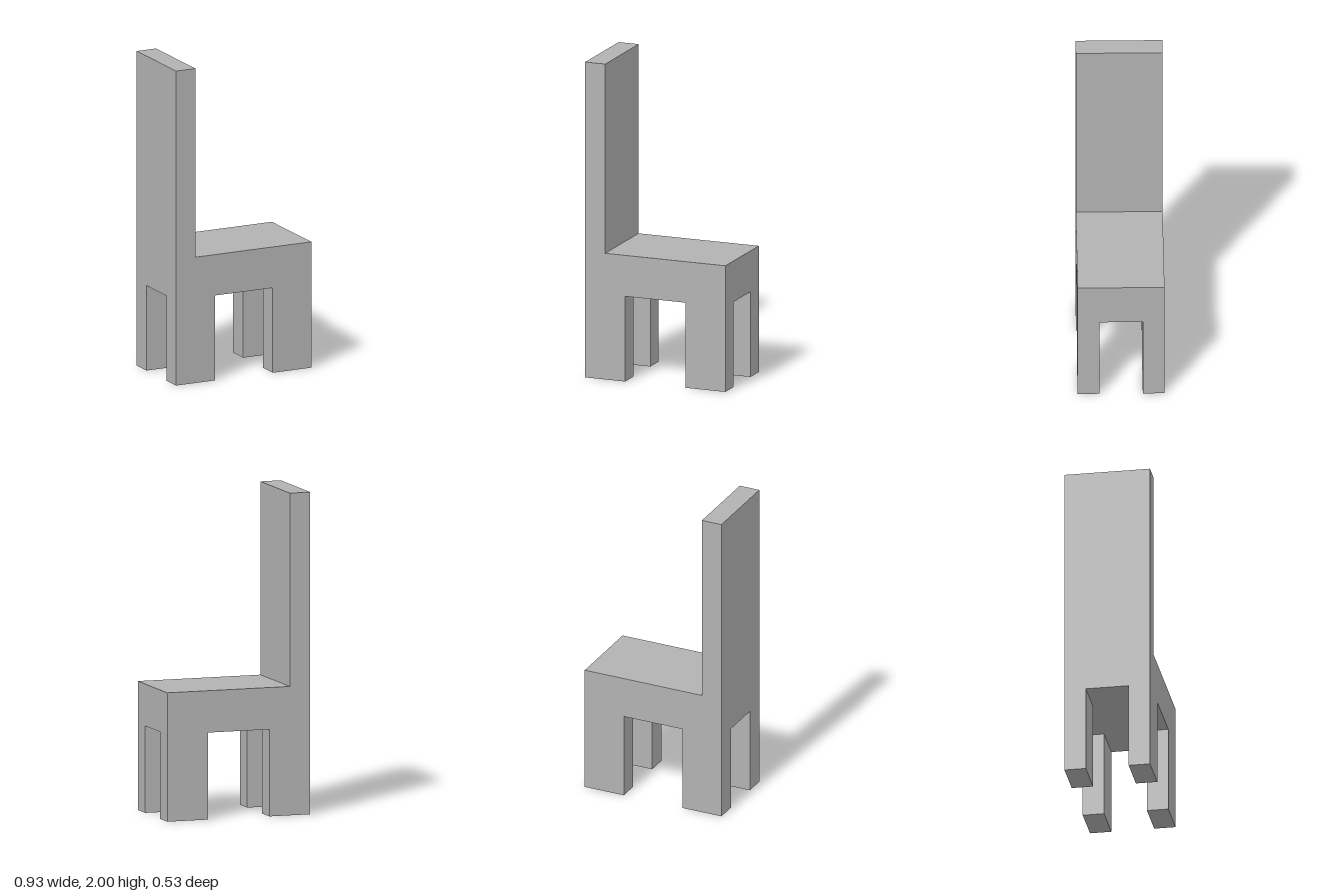
import * as THREE from 'three';

const WIDTH = 0.9333, DEPTH = 0.5333;
const LEG_TOP = 0.54, SEAT_TOP = 0.8, HEIGHT = 2;
const LEG_W = 0.2667, LEG_D = 0.1333, BACK_W = 0.1333;

export function createModel() {
  const chair = new THREE.Group();
  chair.name = 'chair';

  const grey = new THREE.MeshStandardMaterial({ color: 0xb2b2b2 });
  grey.name = 'grey';

  // Box placed by its centre in x and z and its bottom and top in y
  function addBox(name, w, d, bottom, top, x, z) {
    const mesh = new THREE.Mesh(new THREE.BoxGeometry(w, top - bottom, d), grey);
    mesh.name = name;
    mesh.position.set(x, (bottom + top) / 2, z);
    chair.add(mesh);
  }

  // Thick seat block
  addBox('seat', WIDTH, DEPTH, LEG_TOP, SEAT_TOP, 0, 0);

  // Tall backrest slab along the -x edge
  addBox('backrest', BACK_W, DEPTH, SEAT_TOP, HEIGHT, (BACK_W - WIDTH) / 2, 0);

  // Four corner legs
  for (const sx of [-1, 1]) {
    for (const sz of [-1, 1]) {
      const name = (sz > 0 ? 'front' : 'rear') + (sx > 0 ? 'Left' : 'Right') + 'Leg';
      addBox(name, LEG_W, LEG_D, 0, LEG_TOP, sx * (WIDTH - LEG_W) / 2, sz * (DEPTH - LEG_D) / 2);
    }
  }
  return chair;
}
